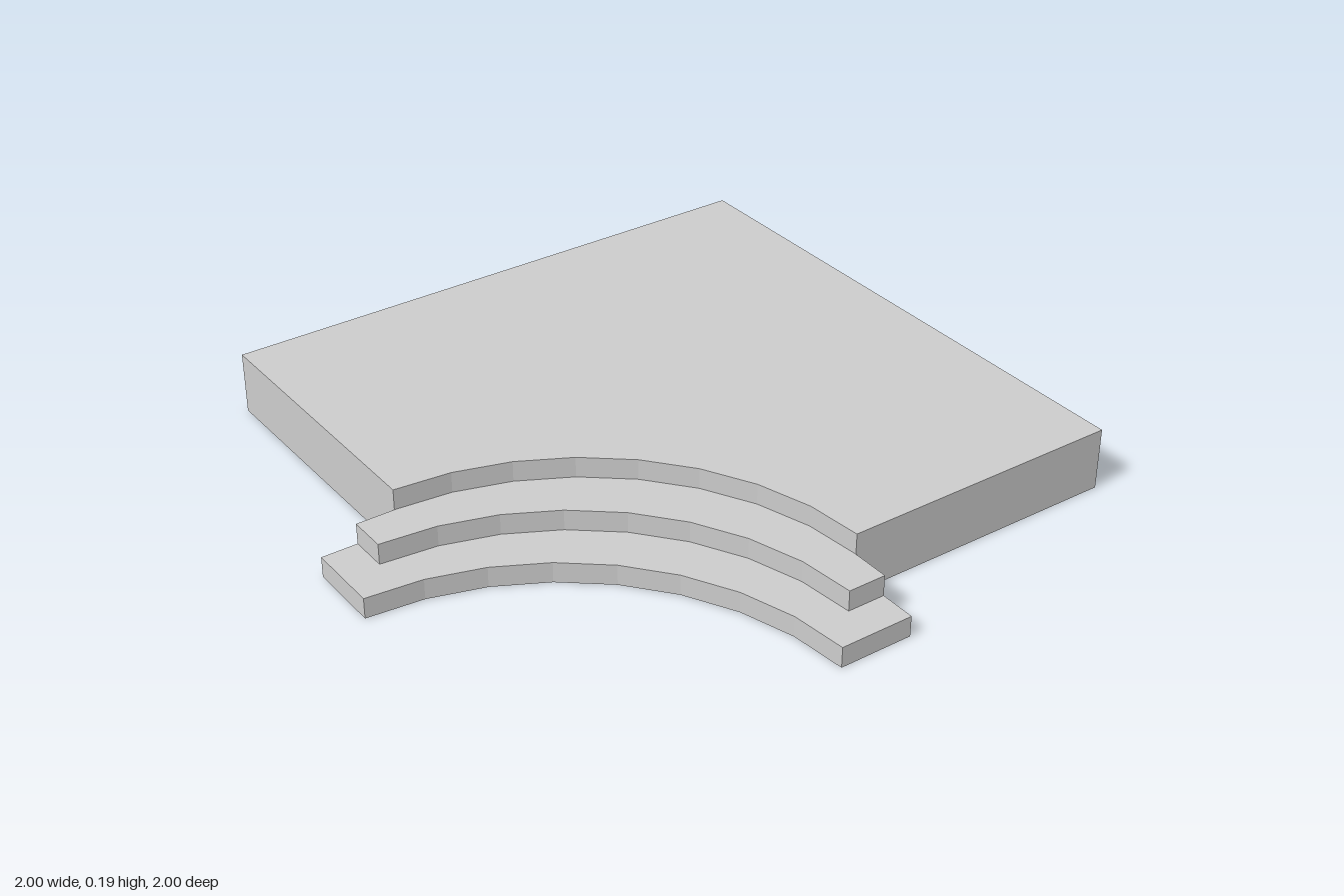
import * as THREE from 'three';

const RADIUS = 0.883;  // every concave edge has the same radius
const SEGMENTS = 8;
const SLAB = 0.771;    // front and left limit of the slab
const HEIGHT = 0.192;
const RISE = HEIGHT / 3;

// Concave quarter arc around (c, c) in plan (x, z), from the left end to the front end
function arc(c) {
  return Array.from({ length: SEGMENTS + 1 }, (_, i) => {
    const a = (i / SEGMENTS) * Math.PI / 2;
    return new THREE.Vector2(c - RADIUS * Math.sin(a), c - RADIUS * Math.cos(a));
  });
}

// Extrude a plan outline (x, z) upwards from y0 to y1
function plate(name, points, y0, y1, material) {
  const geometry = new THREE.ExtrudeGeometry(new THREE.Shape(points), {
    depth: y1 - y0, bevelEnabled: false,
  });
  geometry.rotateX(Math.PI / 2).translate(0, y1, 0);
  const mesh = new THREE.Mesh(geometry, material);
  mesh.name = name;
  return mesh;
}

export function createModel() {
  const group = new THREE.Group();
  group.name = 'cornerSteps';
  const material = new THREE.MeshStandardMaterial({ color: 0xcccccc, flatShading: true });
  const v = (x, z) => new THREE.Vector2(x, z);

  // Square platform with the rounded cut in its front left corner
  const slab = [v(-1, -1), v(SLAB, -1), ...arc(SLAB), v(-1, SLAB)];
  group.add(plate('platform', slab, 0, HEIGHT, material));

  // Curved steps filling the strip between the platform's cut and their own arc
  const inner = SLAB - RADIUS;
  [['lowerStep', 1, 0], ['middleStep', 0.889, 1]].forEach(([name, limit, level]) => {
    const outline = [
      v(limit, inner), ...arc(limit), v(inner, limit), ...arc(SLAB).reverse(),
    ];
    group.add(plate(name, outline, level * RISE, (level + 1) * RISE, material));
  });

  return group;
}
